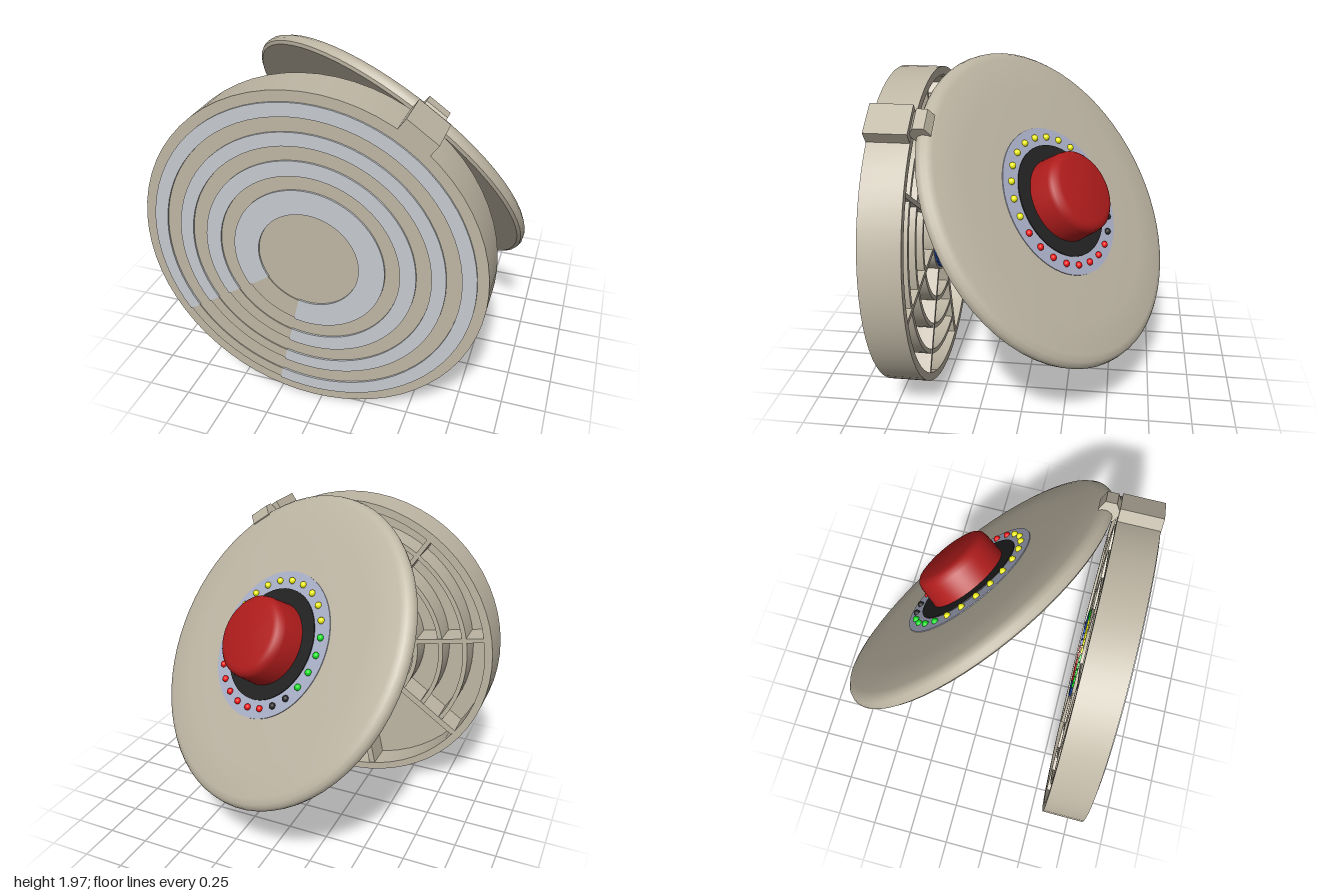
import * as THREE from 'three';
import { toCreasedNormals } from 'three/addons/utils/BufferGeometryUtils.js';

const mat = (color) => new THREE.MeshStandardMaterial({ color });
const TAN = mat(0xbfb7a5), GREY = mat(0xc6cace), LILAC = mat(0xa9afc6), BLACK = mat(0x222222);
const RED = mat(0xb01c1c), LED_RED = mat(0xee1111), YELLOW = mat(0xeeee11), GREEN = mat(0x11dd22), BLUE = mat(0x1c4fc0);
const rad = THREE.MathUtils.degToRad;

function add(parent, name, geometry, material) {
  const mesh = new THREE.Mesh(geometry, material);
  mesh.name = name;
  parent.add(mesh);
  return mesh;
}

// Ring, or arc of a ring when angles (degrees) are given, from z0 to z1
function ring(r0, r1, z0, z1, a0 = 0, a1 = 360) {
  const shape = new THREE.Shape();
  if (a1 - a0 >= 360) {
    shape.absarc(0, 0, r1, 0, Math.PI * 2, false);
    if (r0 > 0) shape.holes.push(new THREE.Path().absarc(0, 0, r0, 0, Math.PI * 2, true));
  } else {
    shape.absarc(0, 0, r1, rad(a0), rad(a1), false);
    shape.absarc(0, 0, r0, rad(a1), rad(a0), true);
    shape.closePath();
  }
  const geo = new THREE.ExtrudeGeometry(shape, { depth: z1 - z0, bevelEnabled: false, curveSegments: 32 });
  geo.translate(0, 0, z0);
  return toCreasedNormals(geo, 0.5);
}

function lathe(points) {
  const geo = new THREE.LatheGeometry(points.map(([x, y]) => new THREE.Vector2(x, y)), 64);
  return toCreasedNormals(geo, 0.6);
}

const HINGE = rad(54.8);            // direction of the hinge around the base
const WEDGE = [214, 257];           // open sector of the base

function createBase() {
  const base = new THREE.Group();
  base.name = 'base';
  base.position.set(-0.05, 0.957, 0);

  add(base, 'frontPlate', ring(0, 0.93, 0.72, 0.78), TAN);
  add(base, 'outerRim', ring(0.905, 0.953, 0.55, 0.78), TAN);
  add(base, 'hub', ring(0.235, 0.28, 0.55, 0.73), TAN);

  // Raised light rings on the front, each closed by a plain pad over the wedge
  for (const [r0, r1] of [[0.28, 0.42], [0.5, 0.585], [0.665, 0.74], [0.82, 0.895]]) {
    add(base, 'lightRing', ring(r0, r1, 0.77, 0.79, WEDGE[1], WEDGE[0] + 360), GREY);
    add(base, 'ringPad', ring(r0 + 0.006, r1 - 0.006, 0.77, 0.786, ...WEDGE), TAN);
  }

  // Circular fins behind the plate, interrupted by the wedge
  for (const r of [0.46, 0.625, 0.78]) {
    add(base, 'channelWall', ring(r - 0.014, r + 0.014, 0.56, 0.73, WEDGE[1], WEDGE[0] + 360), TAN);
  }

  // Radial ribs, the first and last bounding the wedge
  for (let i = 0; i < 8; i++) {
    const a = rad(WEDGE[1] + (i * (360 - WEDGE[1] + WEDGE[0])) / 7);
    const rib = add(base, 'rib', new THREE.BoxGeometry(0.655, i % 7 ? 0.028 : 0.04, 0.17), TAN);
    rib.position.set(0.592 * Math.cos(a), 0.592 * Math.sin(a), 0.64);
    rib.rotation.z = a;
  }

  // Coloured markers around the back of the hub
  const bands = [[240, 300, RED], [300, 372, BLUE], [372, 420, GREEN], [420, 470, YELLOW], [470, 520, GREEN], [520, 600, BLUE]];
  for (const [a0, a1, m] of bands) {
    for (let a = a0; a < a1; a += 10) {
      add(base, 'hubMarker', ring(0.238, 0.266, 0.54, 0.56, a + 1, a + 9), m);
    }
  }

  // Hinge block on the rim and the knuckle that carries the lid
  const hinge = new THREE.Group();
  hinge.name = 'hinge';
  hinge.rotation.z = HINGE;
  base.add(hinge);
  add(hinge, 'hingeBlock', new THREE.BoxGeometry(0.09, 0.195, 0.232), TAN).position.set(0.975, 0, 0.667);
  const knuckle = add(hinge, 'hingeKnuckle', new THREE.CylinderGeometry(0.06, 0.06, 0.13, 6).toNonIndexed(), TAN);
  knuckle.geometry.computeVertexNormals();
  knuckle.position.set(0.975, 0, 0.5);
  return base;
}

function createLid() {
  const lid = new THREE.Group();
  lid.name = 'lid';
  // Local x points to the hinge, local y outwards from the lid
  const tilt = rad(43), c = Math.cos(tilt), s = Math.sin(tilt);
  const dx = Math.cos(HINGE), dy = Math.sin(HINGE);
  const toHinge = new THREE.Vector3(dx * c, dy * c, s);
  const outward = new THREE.Vector3(dx * s, dy * s, -c);
  const across = new THREE.Vector3(-dy, dx, 0);
  lid.quaternion.setFromRotationMatrix(new THREE.Matrix4().makeBasis(toHinge, outward, across));
  lid.position.set(0.107, 1.18, -0.135);

  add(lid, 'lidShell', lathe([[0, -0.03], [0.93, -0.03], [0.947, -0.018], [0.952, 0], [0.945, 0.025],
    [0.925, 0.045], [0.89, 0.056], [0.7, 0.066], [0.445, 0.073], [0, 0.073]]), TAN);
  add(lid, 'dialRing', lathe([[0.445, 0.06], [0.445, 0.078], [0.33, 0.078]]), LILAC);
  add(lid, 'dialPlate', lathe([[0.337, 0.07], [0.337, 0.084], [0, 0.084]]), BLACK);
  add(lid, 'knob', lathe([[0.25, 0.08], [0.243, 0.21], [0.236, 0.237], [0.218, 0.254], [0.19, 0.262], [0, 0.264]]), RED);

  // Indicator lamps around the dial
  const lamp = new THREE.SphereGeometry(0.02, 12, 8);
  for (let i = 0; i < 24; i++) {
    const a = rad(94 - i * 15);
    const m = i < 10 ? YELLOW : i < 18 ? LED_RED : i < 20 ? BLACK : GREEN;
    add(lid, 'indicatorLamp', lamp, m).position.set(0.387 * Math.cos(a), 0.082, 0.387 * Math.sin(a));
  }
  return lid;
}

export function createModel() {
  const model = new THREE.Group();
  model.name = 'hingedRoundCase';
  model.add(createBase(), createLid());
  return model;
}
